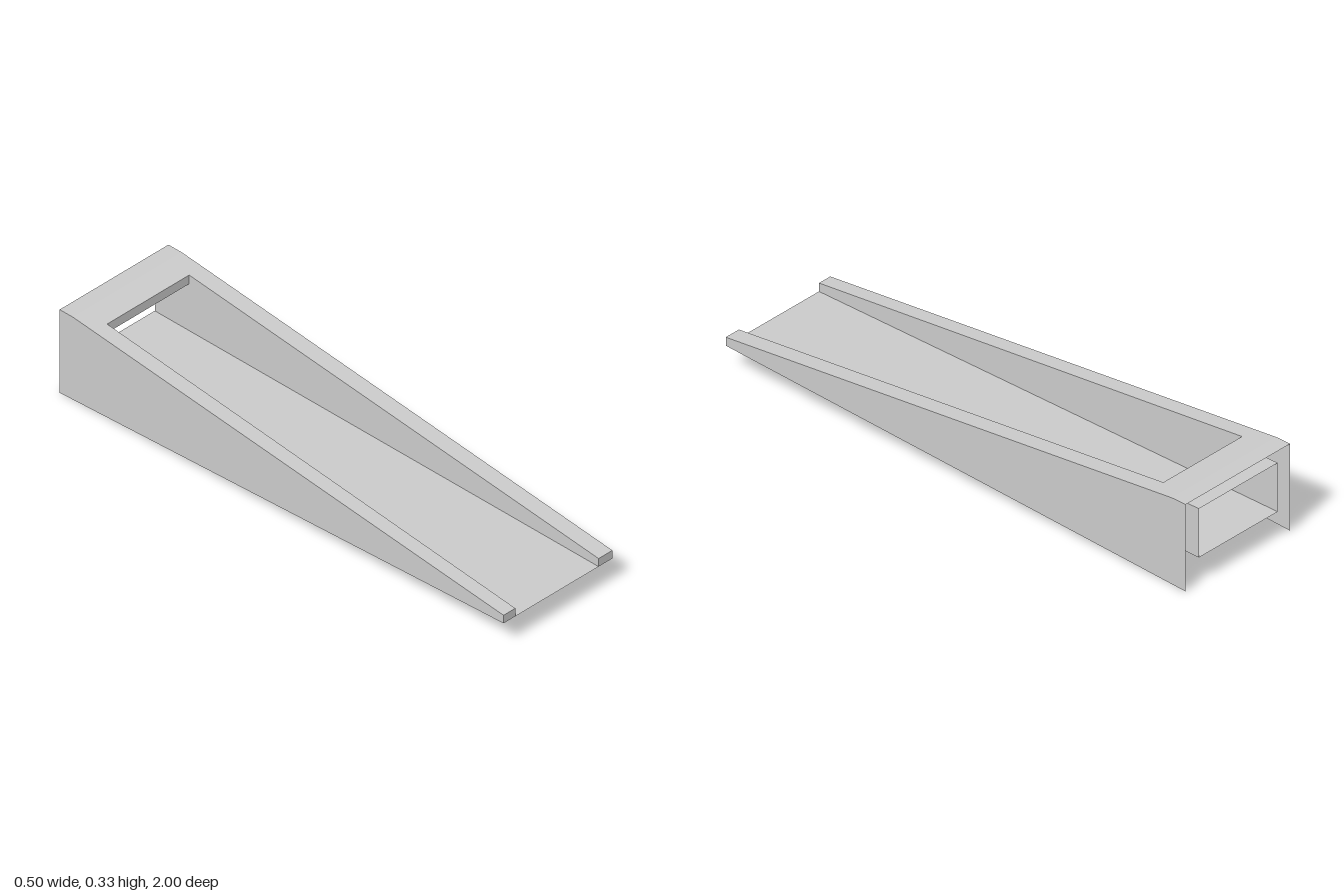
import * as THREE from 'three';

const material = new THREE.MeshStandardMaterial({ color: 0xcccccc, side: THREE.DoubleSide, flatShading: true });

// Key stations along z and heights
const FRONT = 1, LIP = -0.845, KINK = -0.94, BACK = -1;
const HALF = 0.25, NOSE = 0.095, FLOOR_BACK = 0.1, CEILING = 0.285, TOP = 0.33;
const rimY = (z) => Math.min(TOP, 0.127 + (TOP - 0.127) * (FRONT - z) / (FRONT - KINK));

// Inner wall position; the -x wall flares slightly towards the front
const innerX = (side, z) => (side > 0 ? 0.187 : -0.19 - 0.006 * Math.max(0, z - LIP) / (FRONT - LIP));

// Thin flat panel, triangulated as a fan around its first corner
function panel(name, corners, flip = false) {
  const pts = flip ? [corners[0], ...corners.slice(1).reverse()] : corners;
  const positions = [];
  for (let i = 1; i < pts.length - 1; i++) positions.push(...pts[0], ...pts[i], ...pts[i + 1]);
  const geometry = new THREE.BufferGeometry();
  geometry.setAttribute('position', new THREE.Float32BufferAttribute(positions, 3));
  geometry.computeVertexNormals();
  const mesh = new THREE.Mesh(geometry, material);
  mesh.name = name;
  return mesh;
}

export function createModel() {
  const group = new THREE.Group();
  group.name = 'rampChannel';

  for (const side of [1, -1]) {
    const label = side > 0 ? 'left' : 'right';
    const flip = side < 0;
    const x = side * HALF;
    const inner = (y, z) => [innerX(side, z), y, z];

    // Wedge-shaped outer wall
    group.add(panel(label + 'OuterWall', [
      [x, NOSE, FRONT], [x, 0, BACK], [x, TOP, BACK], [x, TOP, KINK], [x, rimY(FRONT), FRONT],
    ], flip));

    // Inner wall, stepped down to the ceiling at the back
    group.add(panel(label + 'InnerWall', [
      inner(CEILING, LIP), inner(CEILING, BACK), inner(FLOOR_BACK, BACK),
      inner(NOSE, FRONT), inner(rimY(FRONT), FRONT), inner(rimY(LIP), LIP),
    ], flip));

    // Sloping rim joining the two walls
    group.add(panel(label + 'Rim', [
      [x, rimY(FRONT), FRONT], [x, rimY(LIP), LIP], inner(rimY(LIP), LIP), inner(rimY(FRONT), FRONT),
    ], flip));

    // Small end cap at the nose
    group.add(panel(label + 'NoseCap', [
      [x, NOSE, FRONT], [x, rimY(FRONT), FRONT], inner(rimY(FRONT), FRONT), inner(NOSE, FRONT),
    ], flip));
  }

  // Panel spanning between the given x ranges from (y0, z0) to (y1, z1)
  const span = (name, [y0, z0], [y1, z1], xAt) => group.add(panel(name, [
    [xAt(-1, z0), y0, z0], [xAt(1, z0), y0, z0], [xAt(1, z1), y1, z1], [xAt(-1, z1), y1, z1],
  ]));
  const outerX = (side) => side * HALF;

  // Rear header: end of the slope, then the level ledge
  span('headerSlope', [rimY(LIP), LIP], [TOP, KINK], outerX);
  span('headerLedge', [TOP, KINK], [TOP, BACK], outerX);

  // Lip and ceiling over the rear opening, and the channel floor
  span('headerLip', [CEILING, LIP], [rimY(LIP), LIP], innerX);
  span('ceiling', [CEILING, LIP], [CEILING, BACK], innerX);
  span('floor', [NOSE, FRONT], [FLOOR_BACK, BACK], innerX);

  return group;
}
